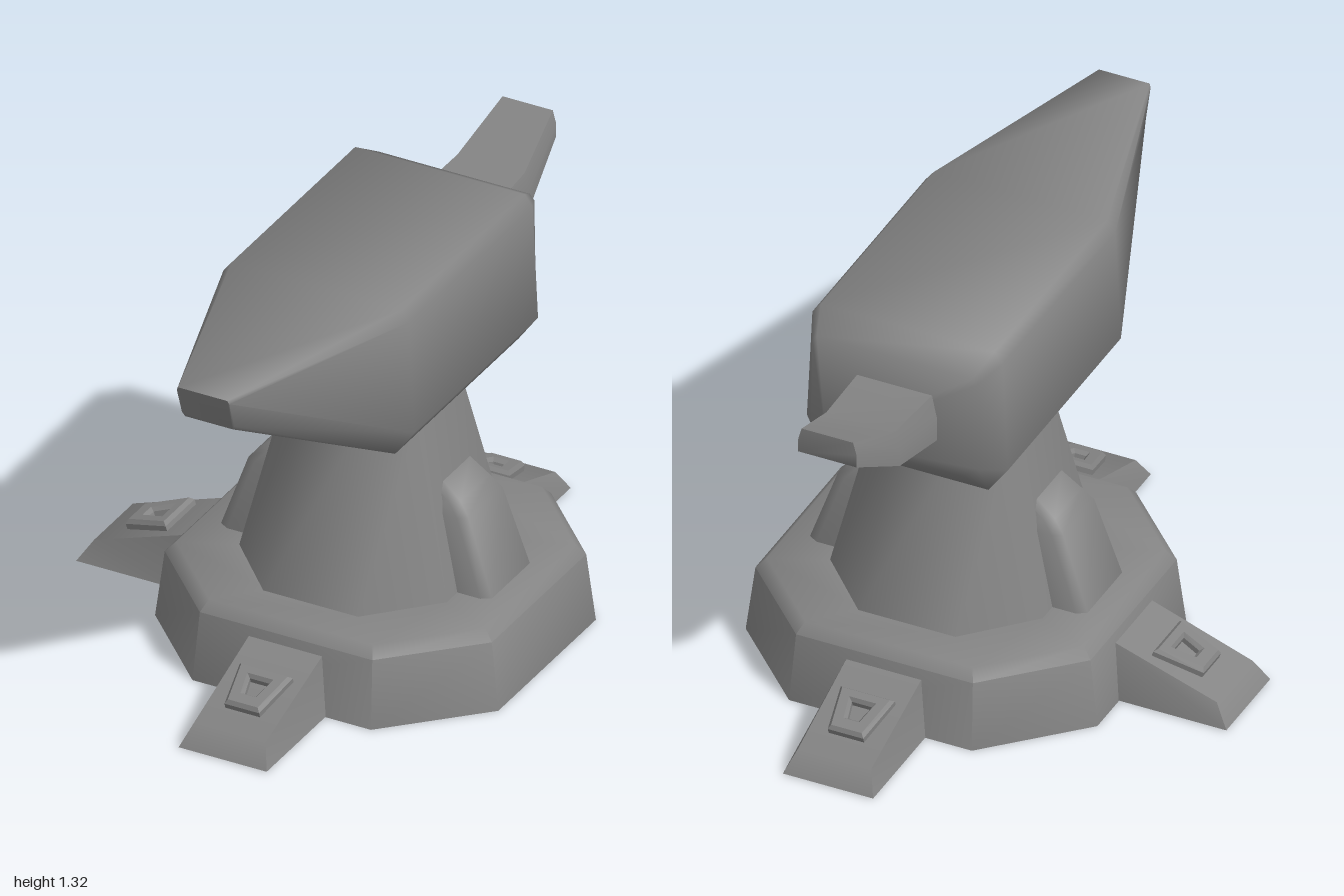
import * as THREE from 'three';
import { toCreasedNormals } from 'three/addons/utils/BufferGeometryUtils.js';

const GREY = 0x848484;
const material = new THREE.MeshStandardMaterial({ color: GREY });
const openMaterial = new THREE.MeshStandardMaterial({ color: GREY, side: THREE.DoubleSide });
const CX = 0.175, CZ = -0.055; // axis of the pedestal

// Skin a list of closed rings; rings run counter-clockwise about the direction of travel
function loft(rings, capped, crease) {
  const n = rings[0].length, index = [];
  for (let i = 0; i < rings.length - 1; i++) {
    for (let j = 0; j < n; j++) {
      const a = i * n + j, b = i * n + (j + 1) % n;
      index.push(a, b, b + n, a, b + n, a + n);
    }
  }
  if (capped) {
    const e = (rings.length - 1) * n;
    for (let j = 1; j < n - 1; j++) index.push(0, j + 1, j, e, e + j, e + j + 1);
  }
  const geometry = new THREE.BufferGeometry();
  geometry.setAttribute('position', new THREE.Float32BufferAttribute(rings.flat(2), 3));
  geometry.setIndex(index);
  return toCreasedNormals(geometry, crease);
}

// Symmetric section along z from right-hand points [halfWidth, y, z offset]
function section(z, half) {
  const right = half.map(([w, y, dz = 0]) => [w, y, z + dz]);
  const left = right.map(([x, y, pz]) => [-x, y, pz]).reverse();
  return [...right, ...left];
}

// Horizontal square with cut corners: half sizes hx, hz and half flats fx, fz
function octagon(y, hx, hz, fx, fz) {
  return [[fx, hz], [hx, fz], [hx, -fz], [fx, -hz], [-fx, -hz], [-hx, -fz], [-hx, fz], [-fx, hz]]
    .map(([x, z]) => [x, y, z]);
}

function addMesh(parent, name, geometry, mat = material) {
  const mesh = new THREE.Mesh(geometry, mat);
  mesh.name = name;
  parent.add(mesh);
  return mesh;
}

// Sloping foot pointing along local +z, with a framed pad on top
function createFoot(name) {
  const foot = new THREE.Group();
  foot.name = name;
  addMesh(foot, 'footBody', loft([
    section(0.565, [[0.148, 0.002], [0.123, 0.19, -0.022]]),
    section(0.93, [[0.148, 0.002], [0.12, 0.072, -0.045]]),
  ], true, 0.9));

  const trapezoid = (path, low, high, y0, y1) => {
    path.moveTo(-low, y0);
    path.lineTo(low, y0);
    path.lineTo(high, y1);
    path.lineTo(-high, y1);
    path.closePath();
    return path;
  };
  const shape = trapezoid(new THREE.Shape(), 0.05, 0.078, -0.07, 0.07);
  shape.holes.push(trapezoid(new THREE.Path(), 0.026, 0.044, -0.035, 0.045));
  const frame = new THREE.ExtrudeGeometry(shape, {
    depth: 0.02, bevelEnabled: true, bevelSegments: 1, bevelSize: 0.01, bevelThickness: 0.012,
  });
  frame.rotateX(-Math.PI / 2 + Math.atan(0.333));
  addMesh(foot, 'footPad', frame).position.set(0, 0.122, 0.73);
  return foot;
}

export function createModel() {
  const model = new THREE.Group();
  model.name = 'turret';

  // Pedestal: hollow base, tapered column, side buttresses and three feet
  const pedestal = new THREE.Group();
  pedestal.name = 'pedestal';
  pedestal.position.set(CX, 0, CZ);
  model.add(pedestal);

  addMesh(pedestal, 'base', loft([
    octagon(0, 0.577, 0.577, 0.3, 0.3),
    octagon(0.222, 0.55, 0.55, 0.29, 0.29),
    octagon(0.255, 0.52, 0.52, 0.275, 0.275),
    octagon(0.255, 0.34, 0.39, 0.155, 0.2),
  ], false, 0.85), openMaterial);

  addMesh(pedestal, 'column', loft([
    octagon(0.25, 0.35, 0.4, 0.16, 0.2),
    octagon(0.83, 0.217, 0.265, 0.1, 0.13),
  ], false, 0.85), openMaterial);

  const buttressRing = (y, out, h, inner) => [
    [inner, h], [out - 0.03, h], [out, h - 0.018], [out, 0.018 - h], [out - 0.03, -h], [inner, -h],
  ].map(([x, z]) => [x, y, z]);
  const buttressGeometry = loft([
    buttressRing(0.25, 0.457, 0.135, 0.3),
    buttressRing(0.5, 0.37, 0.122, 0.24),
    buttressRing(0.54, 0.335, 0.108, 0.23),
    buttressRing(0.588, 0.274, 0.1, 0.2),
  ], true, 1.1);
  addMesh(pedestal, 'leftButtress', buttressGeometry);
  addMesh(pedestal, 'rightButtress', buttressGeometry).rotation.y = Math.PI;

  [['frontFoot', 0, 0.01], ['backFoot', Math.PI, 0], ['rightFoot', -Math.PI / 2, -0.008]]
    .forEach(([name, turn, shift]) => {
      const foot = createFoot(name);
      foot.rotation.y = turn;
      foot.position.z = shift;
      pedestal.add(foot);
    });

  // Head: blunt rear, long wedge toward the front, softly shaded edges
  const head = new THREE.Group();
  head.name = 'head';
  head.position.x = 0.17;
  model.add(head);
  const body = [[0.265, 0.82], [0.33, 0.91], [0.312, 1.285], [0.285, 1.32]];
  addMesh(head, 'headBody', loft([
    section(-0.547, [[0.225, 0.91], [0.275, 0.95], [0.27, 1.25], [0.255, 1.268]]),
    section(-0.46, body),
    section(0.3, body),
    section(1.0, [[0.08, 1.195, -0.04], [0.088, 1.21, -0.035], [0.088, 1.303, -0.003], [0.083, 1.314]]),
  ], true, 1.3));

  // Rear arm: bent, narrowing toward its raised end
  const armSection = (z, w, y0, y1) => section(z, [
    [w, y0], [w, y0 + (y1 - y0) * 0.5], [w * 0.88, y1],
  ]);
  addMesh(head, 'rearArm', loft([
    armSection(-1.0, 0.096, 1.185, 1.27),
    armSection(-0.775, 0.128, 1.06, 1.18),
    armSection(-0.5, 0.142, 1.005, 1.167),
  ], true, 1.1));

  return model;
}
